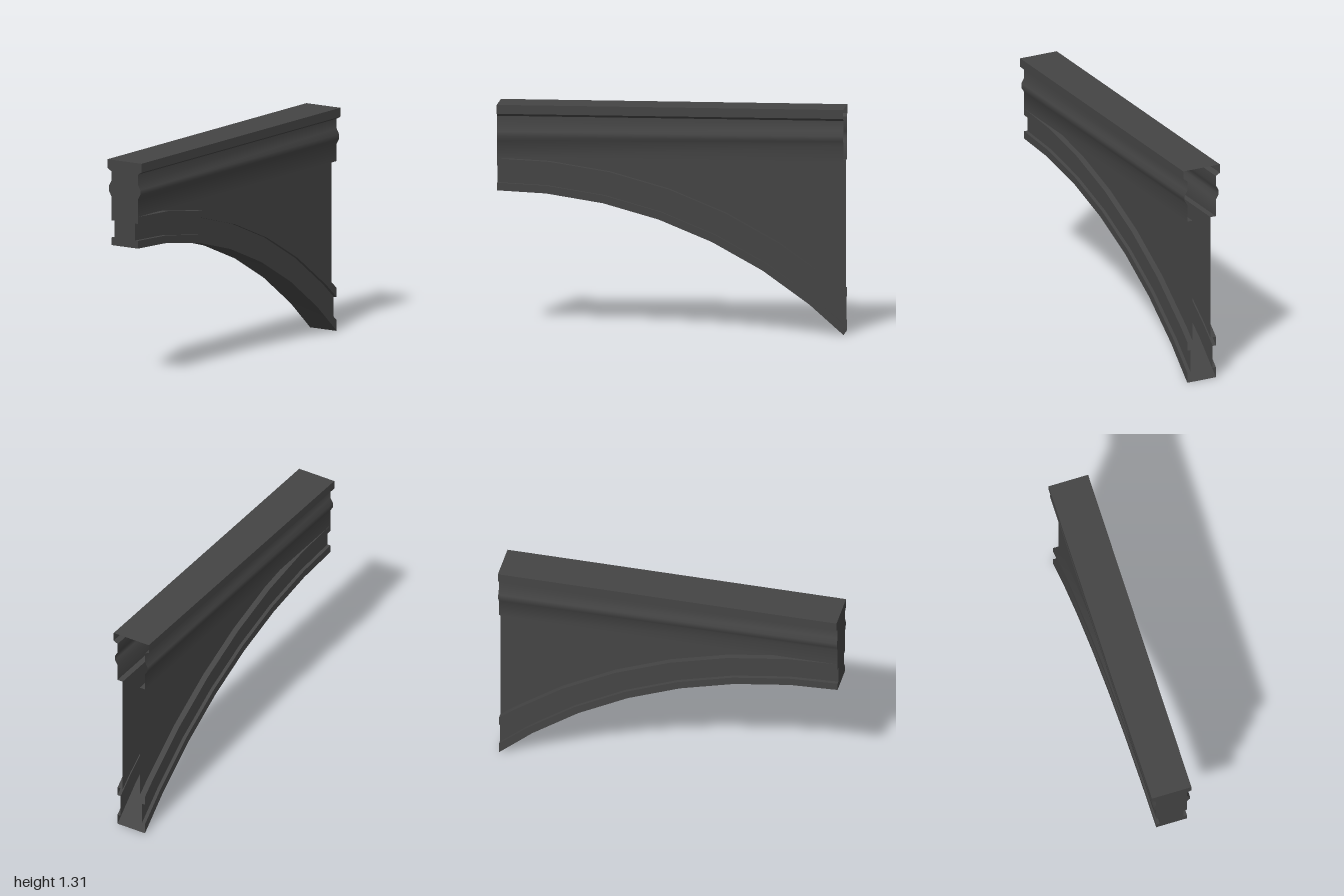
import * as THREE from 'three';
import { toCreasedNormals } from 'three/addons/utils/BufferGeometryUtils.js';

const material = new THREE.MeshStandardMaterial({ color: 0x444444, side: THREE.DoubleSide });

const PANEL_X = 0.058, RAIL_BOTTOM = 0.995;
// Circle of the arch: centre at z = 1, y = CY; soffit radius R
const R = 2.874, CY = 0.81 - R;

// Skin a row of equal-length cross-sections, ordered back to front
function skin(sections) {
  const n = sections[0].length, positions = [], index = [];
  for (const section of sections) for (const p of section) positions.push(p[0], p[1], p[2]);
  for (let j = 0; j < sections.length - 1; j++) {
    for (let i = 0; i < n - 1; i++) {
      const a = j * n + i, b = a + 1, d = a + n, c = d + 1;
      index.push(a, b, d, b, c, d);
    }
  }
  const geometry = new THREE.BufferGeometry();
  geometry.setAttribute('position', new THREE.Float32BufferAttribute(positions, 3));
  geometry.setIndex(index);
  return toCreasedNormals(geometry, 0.7);
}

// Complete a half profile (x, y) with its mirror image
const mirrored = half => [...half, ...half.map(([x, y]) => [-x, y]).reverse()];

// Point on the arch at radius r; the last step is cut off at z = -1
function archPoint(r, angle) {
  const a = Math.min(angle, Math.asin(2 / r));
  return [1 - r * Math.sin(a), CY + r * Math.cos(a)];
}

export function createModel() {
  const model = new THREE.Group();
  model.name = 'halfArch';
  const add = (name, geometry) => {
    const mesh = new THREE.Mesh(geometry, material);
    mesh.name = name;
    model.add(mesh);
    return mesh;
  };

  // Top rail with a rounded moulding and a cornice, open at the back
  const rail = mirrored([
    [PANEL_X, RAIL_BOTTOM], [0.093, RAIL_BOTTOM], [0.093, 1.098], [0.11, 1.126],
    [0.11, 1.154], [0.093, 1.185], [0.093, 1.243], [0.119, 1.258], [0.119, 1.31],
  ]);
  add('topRail', skin([-1, 1].map(z => rail.map(([x, y]) => [x, y, z]))));

  // Curved rib: two raised bands with a channel between, (x, height above soffit)
  const rib = mirrored([
    [PANEL_X, 0.185], [0.093, 0.185], [0.093, 0.145], [0.072, 0.145],
    [0.072, 0.045], [0.093, 0.045], [0.093, 0],
  ]).map(([x, h]) => [-x, h]);
  const angles = [0];
  for (let i = 0; i < 6; i++) angles.push(0.098 + 0.116 * i);
  angles.push(1);
  angles.reverse();
  add('archRib', skin(angles.map(angle => rib.map(([x, h]) => {
    const [z, y] = archPoint(R + h, angle);
    return [x, y, z];
  }))));

  // Flat spandrel panels between rib and rail
  const panelShape = new THREE.Shape();
  panelShape.moveTo(1, RAIL_BOTTOM);
  panelShape.lineTo(-1, RAIL_BOTTOM);
  for (const angle of angles.slice(0, -1)) panelShape.lineTo(...archPoint(R + 0.185, angle));
  const panel = new THREE.ShapeGeometry(panelShape);
  panel.rotateY(-Math.PI / 2).translate(-PANEL_X, 0, 0);
  add('rightPanel', panel);
  add('leftPanel', panel).scale.x = -1;

  // Front end plate following the rail and rib profiles
  const outline = [
    ...rail.slice(1, -1),
    ...rib.slice(2, -2).map(([x, h]) => [x, 0.81 + h]),
  ].map(([x, y]) => new THREE.Vector2(x, y));
  add('frontPlate', new THREE.ShapeGeometry(new THREE.Shape(outline)).translate(0, 0, 1));

  return model;
}
